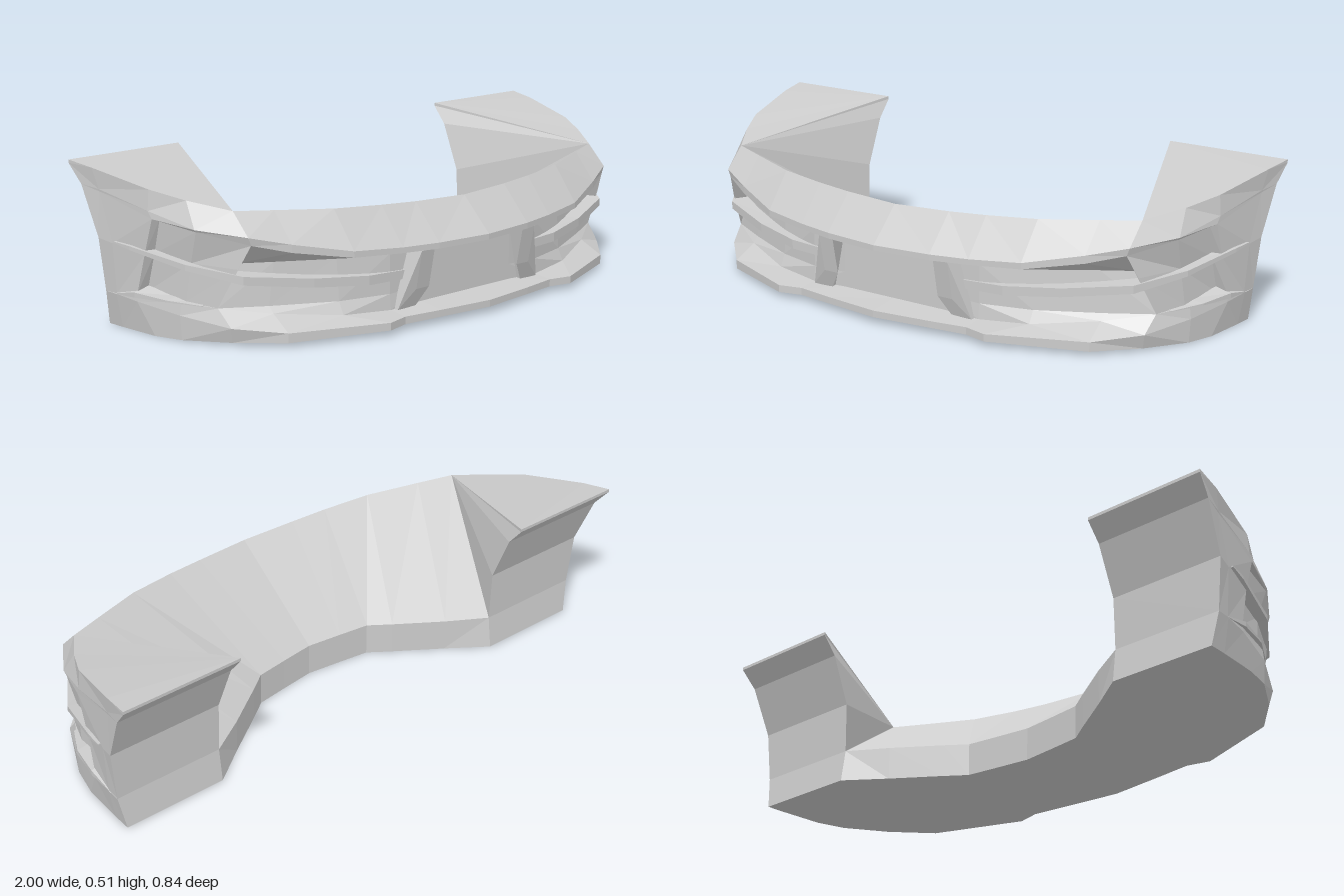
import * as THREE from 'three';

const material = new THREE.MeshStandardMaterial({ color: 0xcccccc, flatShading: true, side: THREE.DoubleSide });

// Collects triangles on the left half and mirrors them to the right.
function part(name, ...strips) {
  const pos = [];
  const tri = (a, b, c) => {
    const ab = new THREE.Vector3(b[0] - a[0], b[1] - a[1], b[2] - a[2]);
    const ac = new THREE.Vector3(c[0] - a[0], c[1] - a[1], c[2] - a[2]);
    if (ab.cross(ac).length() < 1e-7) return;
    pos.push(...a, ...b, ...c);
    for (const p of [a, c, b]) pos.push(-p[0], p[1], p[2]);
  };
  for (const [a, b] of strips) {
    for (let i = 0; i < a.length - 1; i++) {
      tri(a[i], b[i], b[i + 1]);
      tri(a[i], b[i + 1], a[i + 1]);
    }
  }
  const geometry = new THREE.BufferGeometry();
  geometry.setAttribute('position', new THREE.Float32BufferAttribute(pos, 3));
  geometry.computeVertexNormals();
  const mesh = new THREE.Mesh(geometry, material);
  mesh.name = name;
  return mesh;
}

const same = (p, n) => Array(n).fill(p);

// Closed bar through matching rings of points, with both ends capped.
function bar(rings) {
  const n = rings[0].length, strips = [];
  for (let r = 0; r < n; r++) strips.push([rings.map(s => s[r]), rings.map(s => s[(r + 1) % n])]);
  const first = rings[0], last = rings[rings.length - 1];
  strips.push([first, same(first[0], n)], [same(last[0], n), last]);
  return strips;
}

export function createModel() {
  const group = new THREE.Group();

  // Rows run from the centre line round to the rear corner
  const shoulder = [[0, .365, .30], [.2, .37, .285], [.33, .376, .27], [.5, .385, .24], [.68, .397, .175],
    [.8, .405, .13], [.88, .43, .01], [.935, .455, -.1], [.985, .497, -.32], [1, .51, -.42]];
  const nose = [[0, .255, .41], [.2, .256, .39], [.33, .258, .365], [.5, .268, .33], [.68, .305, .255],
    [.8, .335, .2], [.89, .35, .06], [.94, .39, -.1], [.975, .432, -.3], [1, .5, -.42]];
  const noseUnder = [[0, .237, .41], [.2, .237, .39], [.33, .24, .365], [.5, .248, .33], [.68, .28, .255],
    [.79, .31, .2], [.885, .343, .06], [.937, .367, -.085], [.974, .425, -.3], [.99, .44, -.37]];
  const recessTop = [[0, .23, .31], [.2, .225, .31], [.33, .228, .305], [.5, .235, .25], [.68, .238, .17], [.78, .24, .115]];
  const recessBottom = [[0, .105, .31], [.2, .105, .31], [.33, .1, .305], [.5, .1, .26], [.7, .105, .17], [.84, .11, .1]];
  const ledge = [[0, .055, .31], [.2, .055, .31], [.33, .05, .31], [.5, .06, .28], [.7, .085, .19],
    [.84, .11, .1], [.9, .12, 0], [.943, .125, -.16], [.955, .11, -.25], [.96, .11, -.3]];
  const lipTop = [[0, .042, .418], [.2, .042, .395], [.33, .042, .375], [.41, .042, .395], [.71, .042, .27],
    [.83, .055, .15], [.905, .08, 0], [.945, .1, -.16], [.957, .109, -.25], [.96, .11, -.3]];
  const lipBottom = [[0, .02, .418], [.2, .02, .395], [.33, .018, .375], [.41, .018, .395], [.71, .012, .27],
    [.82, .008, .14], [.9, .003, 0], [.925, 0, -.1], [.937, 0, -.25], [.94, 0, -.315]];
  const innerFloor = [[0, 0, -.04], [.12, 0, -.055], [.23, 0, -.07], [.3, 0, -.12], [.45, 0, -.222], ...same([.58, 0, -.315], 5)];
  const innerTop = innerFloor.map(([x, , z]) => [x, .11, z < -.3 ? -.3 : z]);

  // Upper band and overhanging nose
  group.add(part('upperBand', [shoulder, nose], [nose, noseUnder]));
  group.add(part('noseUnderside', [noseUnder.slice(0, 6), recessTop]));

  // Recessed front opening with its end walls
  const end = noseUnder[5], corner = ledge[5];
  group.add(part('frontRecess', [recessTop, recessBottom], [recessBottom, ledge.slice(0, 6)],
    [[recessTop[5], end], [corner, corner]]));

  // Side panel: shallow pocket, step, then the rear panel
  const pocketEdge = [[.912, .363, -.08], [.905, .25, -.12], [.905, .125, -.16]];
  const panelEdge = [noseUnder[7], [.938, .25, -.125], ledge[7]];
  const waist = [panelEdge[1], [.966, .27, -.25], [.978, .28, -.305]];
  group.add(part('sidePocket',
    [[end, noseUnder[6], pocketEdge[0]], [[.812, .235, .163], [.875, .24, .02], pocketEdge[1]]],
    [[[.812, .235, .163], [.875, .24, .02], pocketEdge[1]], [corner, [.882, .12, 0], pocketEdge[2]]],
    [[noseUnder[6], noseUnder[7]], [noseUnder[6], pocketEdge[0]]],
    [[pocketEdge[0], panelEdge[0]], [pocketEdge[1], panelEdge[1]]],
    [[pocketEdge[1], panelEdge[1]], [pocketEdge[2], panelEdge[2]]],
    [[corner, [.882, .12, 0], pocketEdge[2]], ledge.slice(5, 8)]));
  group.add(part('rearSidePanel', [noseUnder.slice(7), waist], [waist, ledge.slice(7)]));

  // Lower lip, skirt and floor
  group.add(part('lowerLip', [ledge, lipTop], [lipTop, lipBottom]));
  group.add(part('floor', [lipBottom, innerFloor]));

  // Inner wall and the slope up to the shoulder
  group.add(part('innerWall', [innerFloor, innerTop], [innerTop.slice(0, 6), shoulder.slice(0, 6)]));

  // Wing ends: rear face, inner face and top
  const rearOuter = [lipBottom[9], ledge[9], waist[2], noseUnder[9], nose[9], shoulder[9]];
  const rearInner = rearOuter.map(([, y, z]) => [.58, y, z]);
  group.add(part('wingRear', [rearOuter, rearInner]));
  group.add(part('wingInner', [rearInner.slice(1), same(shoulder[5], 5)]));
  group.add(part('wingTop', [same(rearInner[5], 5), shoulder.slice(5)]));

  // Posts either side of the centre opening
  const postRing = (x, flare) => [[x, .235, .37], [x, .11, .345], [x + flare, .05, .325], [x + flare, .05, .29], [x, .235, .29]];
  group.add(part('openingPost', ...bar([postRing(.2, .04), postRing(.255, .06)])));

  // Slat crossing the opening and sweeping along the side: x, y, z, height, inner x, inner z
  const slat = [[.27, .155, .315, .028, .28, .28], [.42, .16, .31, .03, .4, .26], [.6, .175, .262, .028, .56, .2],
    [.805, .202, .18, .026, .75, .12], [.905, .233, .03, .018, .85, .01], [.962, .268, -.17, .012, .92, -.17], [.972, .277, -.235, .004, .95, -.235]];
  group.add(part('slat', ...bar(slat.map(([x, y, z, h, ix, iz]) =>
    [[x, y + h / 2, z], [x, y - h / 2, z], [ix, y - h / 2, iz], [ix, y + h / 2, iz]]))));

  // Small fin low on the side
  const fin = [[.87, .115, .06, .002], [.925, .123, -.04, .006], [.955, .13, -.16, .016], [.957, .112, -.25, .003]];
  group.add(part('sideFin', ...bar(fin.map(([x, y, z, h]) =>
    [[x, y, z], [x, y - h, z], [x - .05, y - h, z], [x - .05, y + h, z]]))));

  return group;
}
